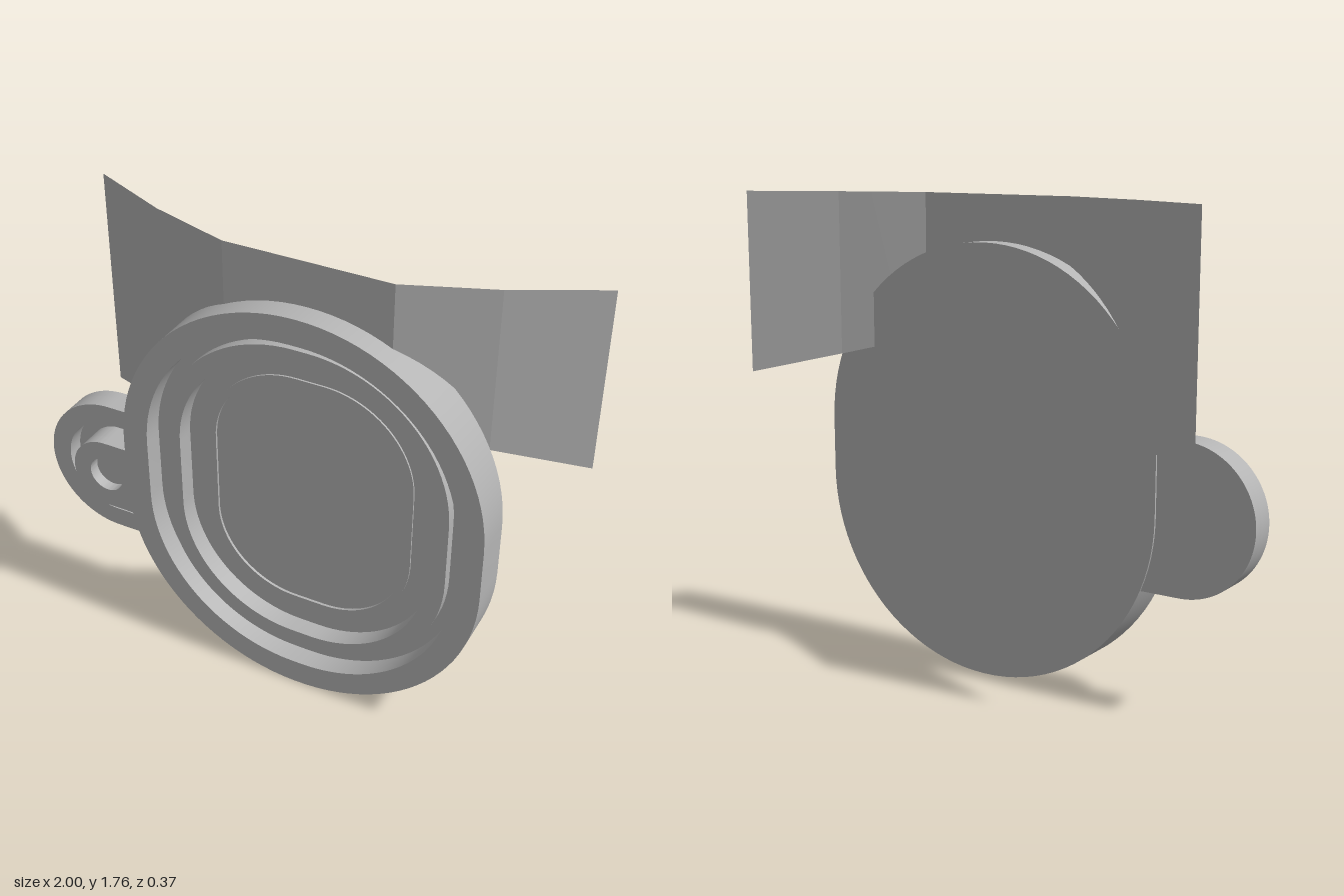
import * as THREE from 'three';
import { toCreasedNormals } from 'three/addons/utils/BufferGeometryUtils.js';

const CREASE = 0.5;

// Rounded-rectangle loop, counter-clockwise seen from the front
function outline(inset, z) {
  const hw = 0.7025 - inset, hh = 0.8 - inset, r = Math.max(0, 0.7 - 1.17 * inset);
  const points = [], steps = 24;
  [[1, 1], [-1, 1], [-1, -1], [1, -1]].forEach(([sx, sy], corner) => {
    for (let i = 0; i <= steps; i++) {
      const a = (corner + i / steps) * Math.PI / 2;
      points.push([0.0725 + sx * (hw - r) + r * Math.cos(a), 0.8 + sy * (hh - r) + r * Math.sin(a), z]);
    }
  });
  return points;
}

// Skin a list of equal-length loops
function skin(loops) {
  const n = loops[0].length, index = [];
  for (let i = 0; i < loops.length - 1; i++) {
    for (let j = 0; j < n; j++) {
      const k = (j + 1) % n, a = i * n + j, b = i * n + k;
      index.push(a, b, b + n, a, b + n, a + n);
    }
  }
  const geometry = new THREE.BufferGeometry();
  geometry.setAttribute('position', new THREE.Float32BufferAttribute(loops.flat(2), 3));
  geometry.setIndex(index);
  return toCreasedNormals(geometry, CREASE);
}

// Tab outline: half circle on the outer side, straight arms towards the body
const TAB_X = -0.725, TAB_Y = 0.707;
function tabShape(r, end) {
  const s = new THREE.Shape();
  s.moveTo(end, TAB_Y + r);
  s.lineTo(TAB_X, TAB_Y + r);
  s.absarc(TAB_X, TAB_Y, r, Math.PI / 2, Math.PI * 1.5, false);
  s.lineTo(end, TAB_Y - r);
  s.closePath();
  return s;
}

function extrude(shape, z0, z1) {
  const g = new THREE.ExtrudeGeometry(shape, { depth: z1 - z0, bevelEnabled: false, curveSegments: 32 });
  g.translate(0, 0, z0);
  return toCreasedNormals(g, CREASE);
}

export function createModel() {
  const model = new THREE.Group();
  const grey = new THREE.MeshStandardMaterial({ color: 0xb4b4b4 });
  grey.name = 'grey';
  const greySheet = grey.clone();
  greySheet.side = THREE.DoubleSide;
  const add = (name, geometry, material = grey, parent = model) => {
    const mesh = new THREE.Mesh(geometry, material);
    mesh.name = name;
    parent.add(mesh);
  };

  // Dished body: back, outer wall, rim, groove, ridge, floor and inner panel
  const profile = [
    [0, 0.022], [0, 0.185], [0.1, 0.185], [0.1, 0.105], [0.143, 0.105], [0.143, 0.145],
    [0.215, 0.145], [0.215, 0.073], [0.302, 0.073], [0.302, 0.08], [0.327, 0.08], [0.327, 0.07],
  ];
  const loops = profile.map(([inset, z]) => outline(inset, z));
  const centre = (z) => loops[0].map(() => [0.0725, 0.8, z]);
  add('body', skin([centre(0.022), ...loops, centre(0.07)]));

  // Side tab with raised rim and a drilled boss
  const tab = new THREE.Group();
  tab.name = 'sideTab';
  model.add(tab);
  add('tabBase', extrude(tabShape(0.273, -0.56), 0.03, 0.07), grey, tab);

  const rim = new THREE.Shape();
  rim.moveTo(-0.56, TAB_Y + 0.273);
  rim.lineTo(TAB_X, TAB_Y + 0.273);
  rim.absarc(TAB_X, TAB_Y, 0.273, Math.PI / 2, Math.PI * 1.5, false);
  rim.lineTo(-0.56, TAB_Y - 0.273);
  rim.lineTo(-0.56, TAB_Y - 0.195);
  rim.lineTo(TAB_X, TAB_Y - 0.195);
  rim.absarc(TAB_X, TAB_Y, 0.195, Math.PI * 1.5, Math.PI / 2, true);
  rim.lineTo(-0.56, TAB_Y + 0.195);
  rim.closePath();
  add('tabRim', extrude(rim, 0.07, 0.133), grey, tab);

  add('bossBase', extrude(tabShape(0.142, -0.612), 0.07, 0.14), grey, tab);
  const boss = tabShape(0.142, -0.612);
  boss.holes.push(new THREE.Path().absarc(TAB_X, TAB_Y, 0.07, 0, Math.PI * 2, true));
  add('bossTop', extrude(boss, 0.14, 0.183), grey, tab);

  // Folded backing sheet: x, z and lower edge of each column
  const columns = [
    [-0.855, -0.14, 0.915], [-0.548, 0, 0.96], [-0.42, 0.04, 0.98], [-0.24, 0.097, 1.45],
    [0.07, 0.097, 1.53], [0.38, 0.097, 1.45], [0.57, 0.022, 1.19], [0.69, -0.025, 1.16], [1, -0.185, 1.085],
  ];
  const sheet = new THREE.BufferGeometry();
  sheet.setAttribute('position', new THREE.Float32BufferAttribute(
    columns.flatMap(([x, z, low]) => [x, low, z, x, 1.765, z]), 3));
  const faces = [];
  for (let i = 0; i < columns.length - 1; i++) {
    const a = i * 2;
    faces.push(a, a + 2, a + 3, a, a + 3, a + 1);
  }
  sheet.setIndex(faces);
  add('backingSheet', toCreasedNormals(sheet, 0.05), greySheet);

  return model;
}
